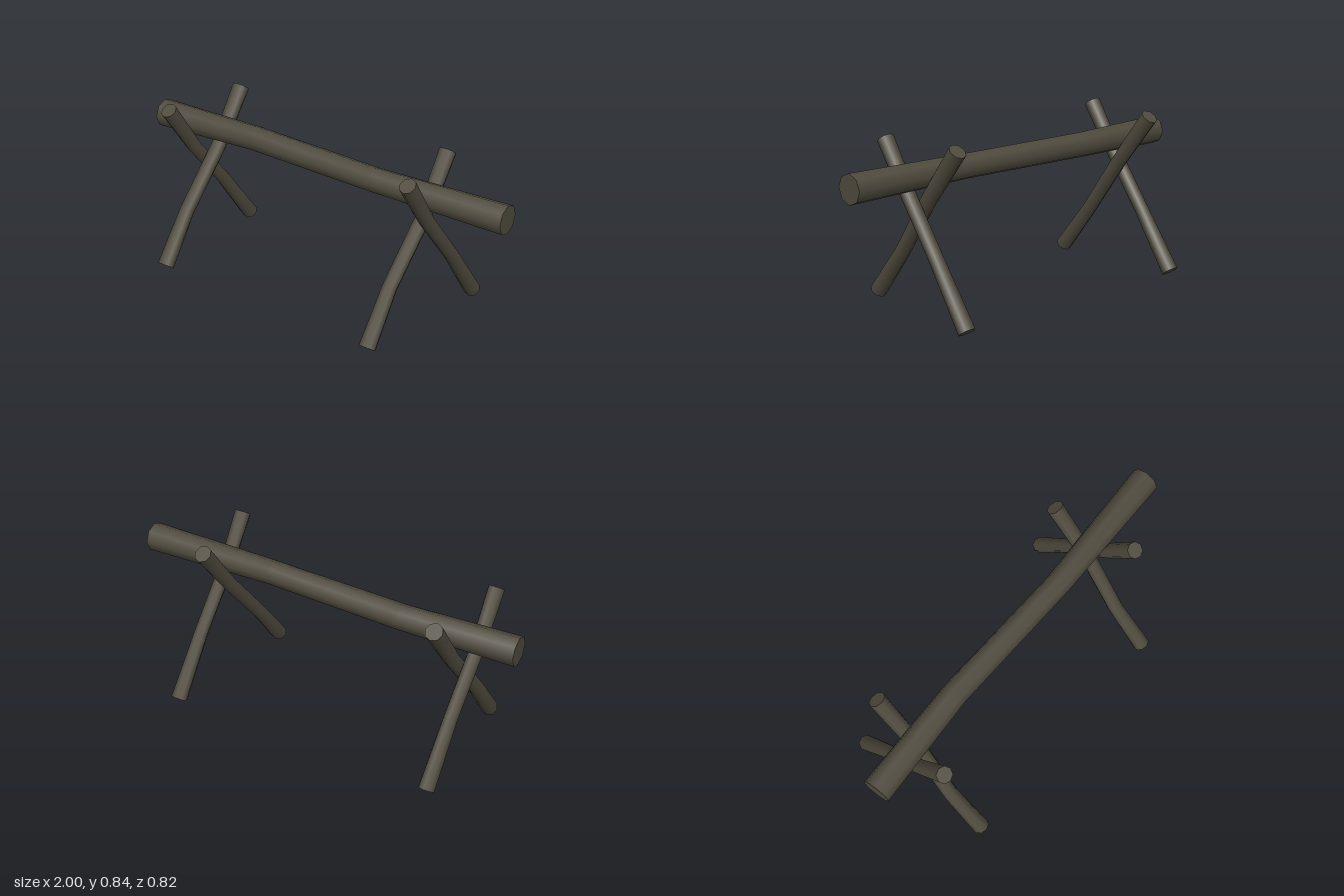
import * as THREE from 'three';

const wood = new THREE.MeshStandardMaterial({ color: 0x4f4a3d });
wood.name = 'dark weathered wood';

// Eight-sided log through sections [x, y, z, radius]; 'ref' aims one ridge of the octagon.
function log(name, sections, ref) {
  const last = sections.length - 1;
  const centres = sections.map(s => new THREE.Vector3(s[0], s[1], s[2]));
  const frames = centres.map((c, i) => {
    // axis points back towards the first section, as the cylinder's top does
    const axis = new THREE.Vector3();
    if (i > 0) axis.add(centres[i - 1].clone().sub(c).normalize());
    if (i < last) axis.add(c.clone().sub(centres[i + 1]).normalize());
    axis.normalize();
    const u = ref.clone().addScaledVector(axis, -ref.dot(axis)).normalize();
    return new THREE.Matrix4().makeBasis(u, axis, u.clone().cross(axis));
  });
  const geometry = new THREE.CylinderGeometry(1, 1, 1, 8, last);
  const { position, normal } = geometry.attributes;
  const p = new THREE.Vector3();
  for (let i = 0; i < position.count; i++) {
    p.fromBufferAttribute(position, i);
    const k = Math.round((0.5 - p.y) * last);
    p.y = 0;
    p.multiplyScalar(sections[k][3]).applyMatrix4(frames[k]).add(centres[k]);
    position.setXYZ(i, p.x, p.y, p.z);
    p.fromBufferAttribute(normal, i).transformDirection(frames[k]);
    normal.setXYZ(i, p.x, p.y, p.z);
  }
  const mesh = new THREE.Mesh(geometry, wood);
  mesh.name = name;
  return mesh;
}

export function createModel() {
  const model = new THREE.Group();
  model.name = 'logRail';
  const X = new THREE.Vector3(1, 0, 0);
  const Y = new THREE.Vector3(0, 1, 0);

  // Gently bent horizontal rail
  model.add(log('rail', [
    [-1, 0.674, -0.02, 0.072],
    [-0.42, 0.676, -0.04, 0.063],
    [0.3, 0.675, -0.009, 0.061],
    [1, 0.677, -0.019, 0.072],
  ], Y));

  // Crossed legs: the same two logs at each end, slightly shifted
  const backFoot = [
    [0.613, 0.822, 0.202, 0.041],
    [0.617, 0.578, 0.038, 0.036],
    [0.632, 0.312, -0.171, 0.035],
    [0.64, 0.028, -0.375, 0.041],
  ];
  const frontFoot = [
    [0.555, 0.812, -0.229, 0.043],
    [0.558, 0.55, -0.028, 0.038],
    [0.526, 0.27, 0.193, 0.037],
    [0.53, 0.035, 0.377, 0.042],
  ];
  const ends = [['left', 0, 0, 0], ['right', -1.388, -1.25, -0.033]];
  for (const [side, backX, frontX, frontZ] of ends) {
    const back = log(side + 'BackLeg', backFoot, X);
    back.position.x = backX;
    const front = log(side + 'FrontLeg', frontFoot, X);
    front.position.set(frontX, 0, frontZ);
    model.add(back, front);
  }
  return model;
}
